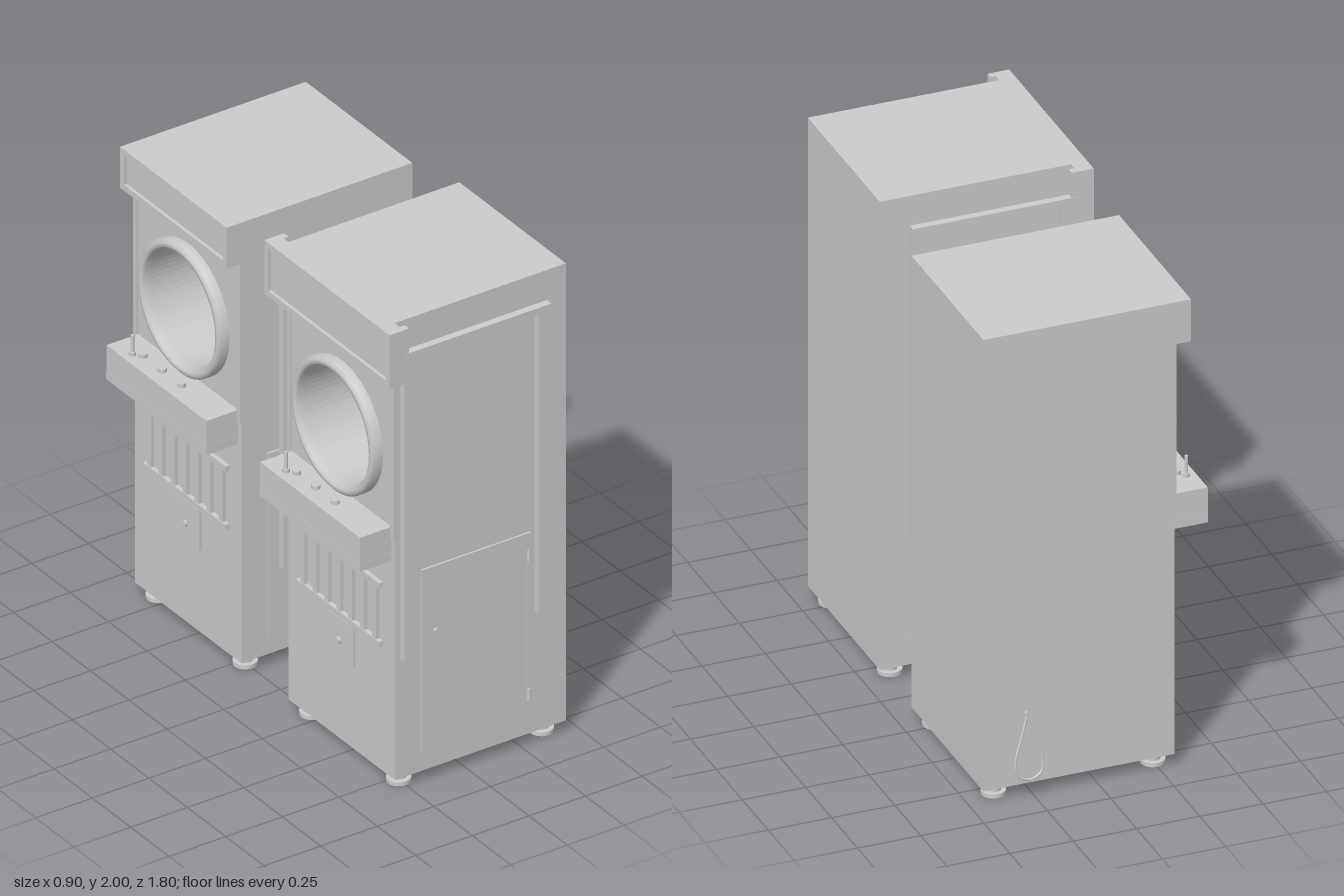
import * as THREE from 'three';

const mat = new THREE.MeshStandardMaterial({ color: 0xcccccc, side: THREE.DoubleSide });
const BACK = 0.445, FACE = -0.31, HALF = 0.347, BASE = 0.05;

function add(parent, name, geo, x = 0, y = 0, z = 0) {
  const m = new THREE.Mesh(geo, mat);
  m.name = name;
  m.position.set(x, y, z);
  parent.add(m);
  return m;
}

// box given by its limits on each axis
function box(parent, name, x0, x1, y0, y1, z0, z1) {
  return add(parent, name, new THREE.BoxGeometry(x1 - x0, y1 - y0, z1 - z0),
    (x0 + x1) / 2, (y0 + y1) / 2, (z0 + z1) / 2);
}

function cyl(parent, name, r, h, x, y, z, axis = 'y', seg = 24) {
  const g = new THREE.CylinderGeometry(r, r, h, seg);
  if (axis === 'x') g.rotateZ(Math.PI / 2);
  if (axis === 'z') g.rotateX(Math.PI / 2);
  return add(parent, name, g, x, y, z);
}

function rectPath(Type, x0, x1, y0, y1) {
  const p = new Type();
  p.moveTo(x0, y0); p.lineTo(x1, y0); p.lineTo(x1, y1); p.lineTo(x0, y1); p.closePath();
  return p;
}

// extrusion of a (z, y) outline running from x1 forward to x0
function extrudeX(parent, name, shape, x0, x1) {
  const g = new THREE.ExtrudeGeometry(shape, { depth: x1 - x0, bevelEnabled: false, curveSegments: 32 });
  g.rotateY(-Math.PI / 2);
  return add(parent, name, g, x1);
}

function addBody(c, top) {
  const cy = 1.4, split = 0.25;
  const shape = rectPath(THREE.Shape, -HALF, HALF, BASE, top);
  const hole = new THREE.Path();
  hole.absarc(0, cy, 0.235, 0, Math.PI * 2, true);
  shape.holes.push(hole);
  extrudeX(c, 'cabinetFront', shape, FACE, split);
  box(c, 'cabinetBack', split, BACK, BASE, top, -HALF, HALF);

  // raised rim round the deep opening
  const pts = [[0.235, 0], [0.235, 0.035], [0.243, 0.045], [0.258, 0.045], [0.27, 0.035], [0.27, 0]]
    .map(([r, h]) => new THREE.Vector2(r, h));
  const rim = new THREE.LatheGeometry(pts, 64);
  rim.rotateZ(Math.PI / 2);
  add(c, 'openingRim', rim, FACE, cy, 0);

  // slim edge strips beside the opening
  for (const s of [-1, 1])
    add(c, 'edgeStrip', new THREE.BoxGeometry(0.008, 0.7, 0.02), FACE - 0.003, 1.42, s * (HALF - 0.01));
}

function addMarquee(c, y0, y1, half) {
  const frame = rectPath(THREE.Shape, -half, half, y0, y1);
  frame.holes.push(rectPath(THREE.Path, -half + 0.025, half - 0.025, y0 + 0.025, y1 - 0.025));
  extrudeX(c, 'marqueeFrame', frame, -0.375, -0.355);
  box(c, 'marqueeBox', -0.362, FACE, y0, y1, -half, half);
}

function addControls(c) {
  box(c, 'controlShelf', -0.45, FACE, 0.98, 1.12, -0.325, 0.325);
  box(c, 'shelfLip', -0.451, FACE, 0.975, 1.01, -0.326, 0.326);
  for (const z of [-0.183, -0.058, 0.068]) cyl(c, 'button', 0.017, 0.016, -0.385, 1.128, z);
  cyl(c, 'leverBase', 0.014, 0.02, -0.41, 1.125, -0.215);
  cyl(c, 'lever', 0.007, 0.09, -0.41, 1.16, -0.215);
}

function addGrille(c) {
  for (const y of [0.595, 0.845]) box(c, 'grilleRail', -0.328, FACE, y - 0.012, y + 0.012, -0.27, 0.27);
  for (let i = 0; i < 7; i++) {
    const z = -0.234 + i * 0.078;
    box(c, 'grilleBar', -0.325, FACE, 0.595, 0.845, z - 0.013, z + 0.013);
  }
  // small plate with a lock
  box(c, 'lockPlate', -0.322, FACE, 0.405, 0.575, -0.09, 0.09);
  cyl(c, 'lock', 0.014, 0.015, -0.325, 0.48, 0, 'x');
}

function addSideDoor(c) {
  const shape = new THREE.Shape();
  [[-0.195, 0.12], [0.285, 0.12], [0.285, 0.2], [0.265, 0.2], [0.265, 0.84], [0.285, 0.84], [0.285, 0.91], [-0.195, 0.91]]
    .forEach(([x, y], i) => (i ? shape.lineTo(x, y) : shape.moveTo(x, y)));
  shape.closePath();
  add(c, 'sideDoor', new THREE.ExtrudeGeometry(shape, { depth: 0.008, bevelEnabled: false }), 0, 0, HALF);
  box(c, 'doorStrip', 0.27, 0.285, 0.24, 0.79, HALF, HALF + 0.004);
  for (const y of [0.22, 0.815]) cyl(c, 'doorHinge', 0.008, 0.05, 0.28, y, HALF + 0.003, 'y', 12);
  cyl(c, 'doorKnob', 0.011, 0.016, -0.135, 0.635, HALF + 0.008, 'z');
}

// hanging teardrop cable on the other side
function addCable(c) {
  const pts = [[0, 0.33], [0.025, 0.25], [0.053, 0.16], [0.045, 0.105], [0, 0.082],
    [-0.045, 0.105], [-0.053, 0.16], [-0.025, 0.25], [0, 0.33]]
    .map(([x, y]) => new THREE.Vector3(0.275 + x, y, -HALF - 0.004 - (0.33 - y) * 0.125));
  add(c, 'cableLoop', new THREE.TubeGeometry(new THREE.CatmullRomCurve3(pts), 64, 0.005, 8));
  cyl(c, 'cableOutlet', 0.009, 0.016, 0.275, 0.342, -HALF - 0.004, 'z', 12);
}

function addFeet(c) {
  for (const x of [-0.25, 0.38]) for (const z of [-0.283, 0.283]) {
    cyl(c, 'footPad', 0.047, 0.016, x, 0.008, z);
    cyl(c, 'footStem', 0.028, 0.045, x, 0.032, z);
  }
}

// inverted U frames standing off both sides of the tall cabinet
function addSideFrames(c) {
  const u = new THREE.Shape();
  [[-0.31, 0.585], [-0.25, 0.585], [-0.25, 1.865], [0.285, 1.865], [0.285, 0.585], [0.34, 0.585], [0.34, 1.895], [-0.31, 1.895]]
    .forEach(([x, y], i) => (i ? u.lineTo(x, y) : u.moveTo(x, y)));
  u.closePath();
  for (const s of [-1, 1]) {
    add(c, 'sideFrame', new THREE.ExtrudeGeometry(u, { depth: 0.03, bevelEnabled: false }), 0, 0, s > 0 ? 0.379 : -0.409);
    for (const y of [1.03, 1.58]) cyl(c, 'frameSpacer', 0.009, 0.04, -0.275, y, s * 0.364, 'z', 12);
    add(c, 'marqueeBracket', new THREE.BoxGeometry(0.024, 0.105, 0.028), -0.3, 1.9475, s * 0.393);
  }
}

function cabinet(name, z, top) {
  const c = new THREE.Group();
  c.name = name;
  c.position.z = z;
  addBody(c, top);
  addControls(c);
  addGrille(c);
  addSideDoor(c);
  addCable(c);
  addFeet(c);
  return c;
}

export function createModel() {
  const model = new THREE.Group();
  model.name = 'cabinetPair';

  const tall = cabinet('framedCabinet', 0.4875, 2);
  addMarquee(tall, 1.77, 2, 0.408);
  addSideFrames(tall);

  const plain = cabinet('plainCabinet', -0.5125, 1.93);
  addMarquee(plain, 1.755, 1.93, HALF);

  model.add(tall, plain);
  return model;
}
